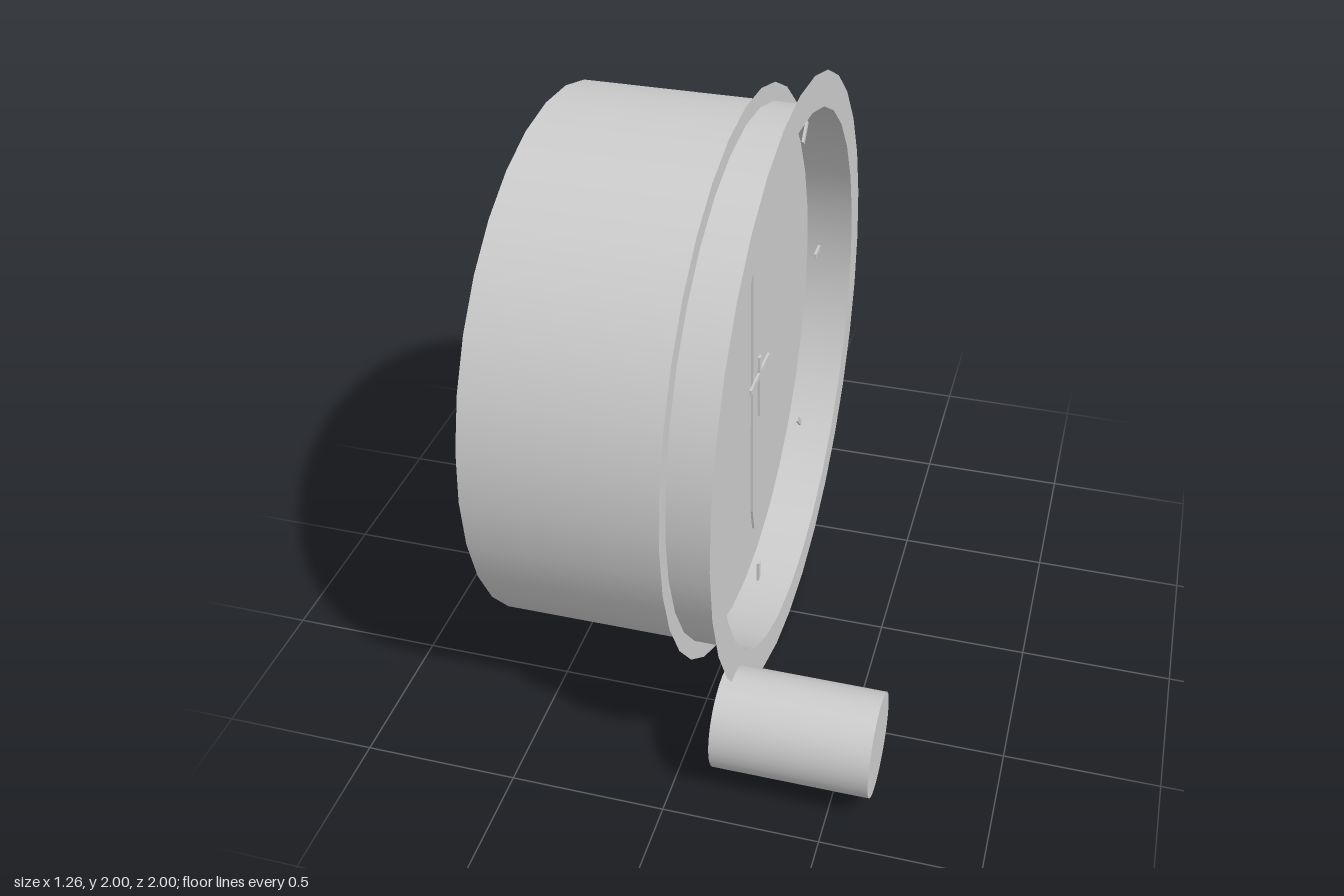
import * as THREE from 'three';

const SIDES = 32;
const grey = new THREE.MeshStandardMaterial({ color: 0xcccccc, side: THREE.DoubleSide });
grey.name = 'plain grey';

function add(parent, name, geometry, x = 0, y = 0, z = 0) {
  const mesh = new THREE.Mesh(geometry, grey);
  mesh.name = name;
  mesh.position.set(x, y, z);
  parent.add(mesh);
  return mesh;
}

// Thin plate from an outline, centred on its own depth
function plate(points, depth = 0.008) {
  const shape = new THREE.Shape(points.map(([u, v]) => new THREE.Vector2(u, v)));
  return new THREE.ExtrudeGeometry(shape, { depth, bevelEnabled: false }).translate(0, 0, -depth / 2);
}

// Outline mirrored about the vertical axis; the right half runs top to bottom
function mirrored(half) {
  return [...half, ...half.slice().reverse().filter(([u]) => u > 0).map(([u, v]) => [-u, v])];
}

export function createModel() {
  const model = new THREE.Group();
  model.name = 'panelInstrument';

  // Built facing local +z, then turned so the dial faces +x
  const gauge = new THREE.Group();
  gauge.name = 'gauge';
  gauge.rotation.y = Math.PI / 2;
  gauge.position.y = 1;
  model.add(gauge);

  // Open-backed case with two flat flanges; the dial closes the tube
  const tube = new THREE.CylinderGeometry(0.885, 0.885, 0.8, SIDES, 1, true).rotateX(Math.PI / 2);
  add(gauge, 'case', tube, 0, 0, -0.235);
  add(gauge, 'bezel', new THREE.RingGeometry(0.885, 1, SIDES), 0, 0, 0.165);
  add(gauge, 'dialPlate', new THREE.CircleGeometry(0.945, SIDES), 0, 0, 0);

  // Dial markings, slightly off the case axis
  const marks = new THREE.Group();
  marks.name = 'dialMarks';
  marks.position.set(0.01, -0.005, 0.045);
  gauge.add(marks);

  // Seven ticks, leaving the top for the index marker
  for (let i = 1; i < 8; i++) {
    const geometry = new THREE.BoxGeometry(0.02, 0.08, 0.008).translate(0, 0.843, 0);
    add(marks, 'tick', geometry).rotation.z = -i * Math.PI / 4;
  }
  add(marks, 'indexMarker', plate(mirrored([[0.07, 0.882], [0.011, 0.782], [0.011, 0.688]])));

  // Fixed cross in front of the needle
  add(marks, 'crossBar', new THREE.BoxGeometry(0.235, 0.02, 0.008));
  add(marks, 'crossPost', new THREE.BoxGeometry(0.02, 0.23, 0.008), 0, -0.046, 0);

  // Arrow needle
  const needle = [[0, 0.673], [0.047, 0.54], [0.022, 0.54], [0.022, -0.562], [0, -0.653]];
  add(marks, 'needle', plate(mirrored(needle)), 0, 0, -0.02);

  // Adjusting knob at the lower front corner
  const knob = new THREE.CylinderGeometry(0.164, 0.164, 0.5, SIDES).rotateZ(-Math.PI / 2);
  add(model, 'knob', knob, 0.38, 0.218, 0.765);

  return model;
}
